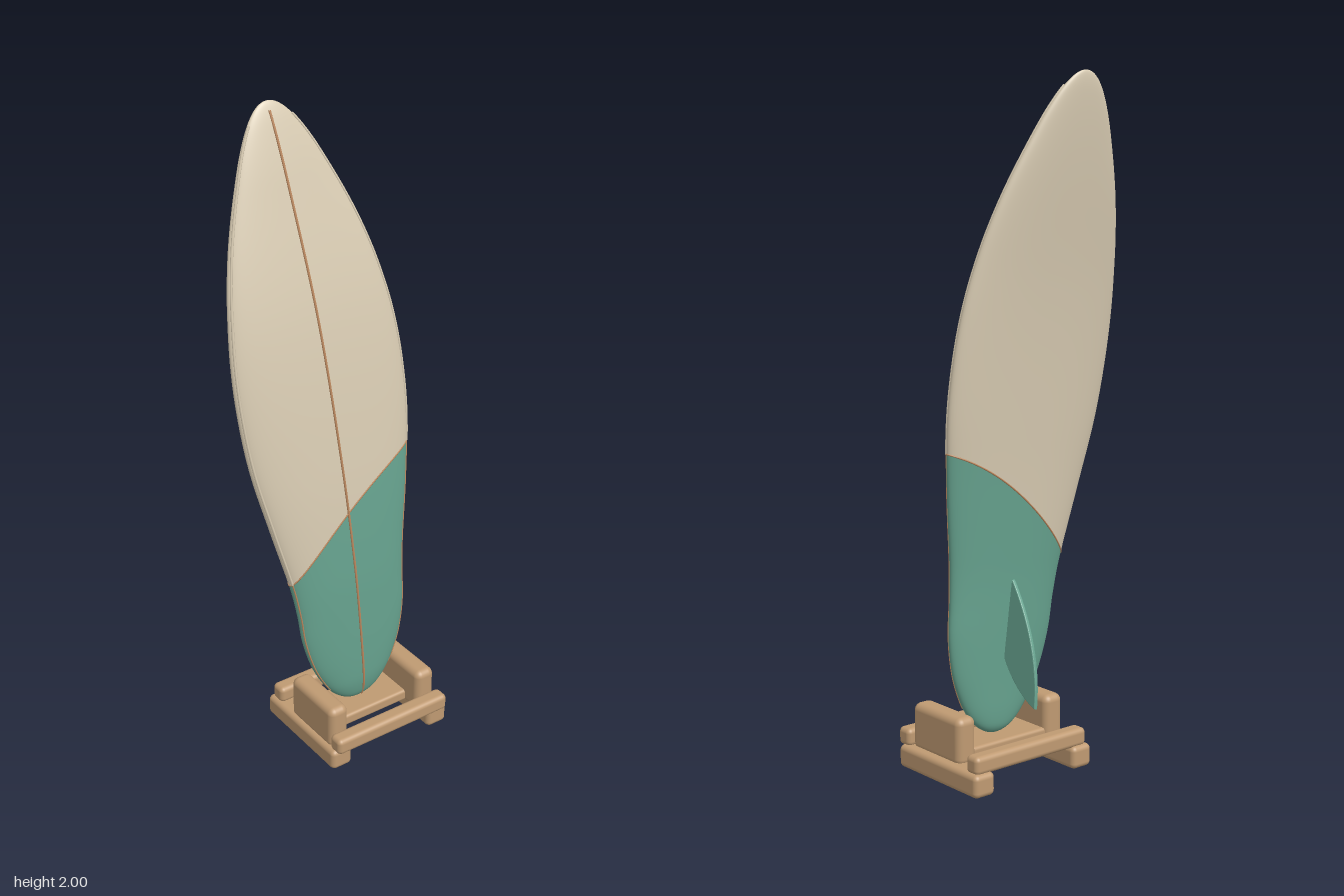
import * as THREE from 'three';
import { RoundedBoxGeometry } from 'three/addons/geometries/RoundedBoxGeometry.js';

const LENGTH = 1.908;

// smooth interpolation through [position, value] pairs
function spline(table, s) {
  const n = table.length;
  let i = 0;
  while (i < n - 2 && s > table[i + 1][0]) i++;
  const slope = (k) => {
    const a = table[Math.max(0, k - 1)], b = table[Math.min(n - 1, k + 1)];
    return (b[1] - a[1]) / (b[0] - a[0]);
  };
  const [s0, v0] = table[i], [s1, v1] = table[i + 1];
  const d = s1 - s0, t = (s - s0) / d, t2 = t * t, t3 = t2 * t;
  return v0 * (2 * t3 - 3 * t2 + 1) + slope(i) * d * (t3 - 2 * t2 + t)
    + v1 * (3 * t2 - 2 * t3) + slope(i + 1) * d * (t3 - t2);
}

// squared values keep both ends of the board round
const squared = (table) => table.map(([s, v]) => [s, v * v]);
const WIDTH = squared([[0, 0], [0.05, 0.092], [0.1, 0.125], [0.19, 0.163], [0.3, 0.186], [0.4, 0.192],
  [0.52, 0.206], [0.72, 0.242], [0.93, 0.274], [1.1, 0.281], [1.25, 0.273], [1.4, 0.249],
  [1.52, 0.219], [1.7, 0.153], [1.8, 0.107], [1.86, 0.07], [LENGTH, 0]]);
const THICK = squared([[0, 0], [0.03, 0.024], [0.1, 0.033], [0.5, 0.044], [0.85, 0.048],
  [1.3, 0.045], [1.7, 0.029], [1.85, 0.016], [LENGTH, 0]]);
const ROCKER = [[0, 0.012], [0.1, 0.017], [0.3, 0.015], [0.5, 0.009], [0.85, -0.017],
  [1.3, -0.07], [1.7, -0.147], [LENGTH, -0.19]];

const halfWidth = (s) => Math.sqrt(Math.max(0, spline(WIDTH, s)));
const halfThick = (s) => Math.sqrt(Math.max(0, spline(THICK, s)));

// point on the board skin: s along the length, angle around the section
function skin(s, angle) {
  const u = Math.cos(angle);
  const bulge = Math.sqrt(Math.max(0, 1 - Math.abs(u) ** 2.5));
  return new THREE.Vector3(u * halfWidth(s), s,
    spline(ROCKER, s) + Math.sign(Math.sin(angle)) * halfThick(s) * bulge);
}

// where the curved colour break crosses a given angle
function breakAt(angle) {
  let s = 0.7;
  for (let i = 0; i < 20; i++) {
    const x = Math.cos(angle) * halfWidth(s);
    s = 0.703 + 0.708 * x - 0.852 * x * x;
  }
  return s;
}

// one smooth skin with a group for the tail and one for the nose
function boardGeometry() {
  const cols = 72, tailRows = 36, noseRows = 52, rows = tailRows + noseRows;
  const pos = [], index = [];
  for (let r = 0; r <= rows; r++) {
    for (let c = 0; c < cols; c++) {
      const angle = (c / cols) * Math.PI * 2, mid = breakAt(angle);
      const s = r <= tailRows
        ? mid * (1 - Math.cos((r / tailRows) * Math.PI / 2))
        : mid + (LENGTH - mid) * Math.sin(((r - tailRows) / noseRows) * Math.PI / 2);
      pos.push(...skin(s, angle).toArray());
    }
  }
  for (let r = 0; r < rows; r++) {
    for (let c = 0; c < cols; c++) {
      const n = (c + 1) % cols;
      const a = r * cols + c, b = a + cols, e = r * cols + n, f = e + cols;
      index.push(a, b, e, b, f, e);
    }
  }
  const geo = new THREE.BufferGeometry();
  geo.setAttribute('position', new THREE.Float32BufferAttribute(pos, 3));
  geo.setIndex(index);
  geo.addGroup(0, tailRows * cols * 6, 0);
  geo.addGroup(tailRows * cols * 6, noseRows * cols * 6, 1);
  geo.computeVertexNormals();
  return geo;
}

export function createModel() {
  const material = (name, color) => {
    const m = new THREE.MeshStandardMaterial({ color });
    m.name = name;
    return m;
  };
  const cream = material('cream', 0xd9ccb3);
  const teal = material('teal', 0x67a38f);
  const line = material('tan line', 0xc08c62);
  const wood = material('wood', 0xbf9a72);

  const model = new THREE.Group();
  const add = (parent, name, geo, mat) => {
    const mesh = new THREE.Mesh(geo, mat);
    mesh.name = name;
    parent.add(mesh);
    return mesh;
  };

  // board, tipped sideways on its tail
  const board = new THREE.Group();
  board.name = 'board';
  board.position.set(0.085, 0.1, 0);
  board.rotation.z = 0.0912;
  model.add(board);
  add(board, 'boardSkin', boardGeometry(), [teal, cream]);

  // thin beads following the skin
  const bead = (name, points, radius, mat, closed = false) => add(board, name,
    new THREE.TubeGeometry(new THREE.CatmullRomCurve3(points, closed), 120, radius, 6, closed), mat);
  const along = (from, to, angle) => Array.from({ length: 41 },
    (_, i) => skin(from + (to - from) * i / 40, angle));
  bead('stringer', along(0.01, 1.885, Math.PI / 2), 0.004, line);
  bead('colourSeam', Array.from({ length: 72 }, (_, i) => {
    const angle = (i / 72) * Math.PI * 2;
    return skin(breakAt(angle), angle);
  }), 0.0025, line, true);
  for (const [side, angle] of [['left', 0.24], ['right', Math.PI - 0.24]]) {
    const mid = breakAt(angle);
    bead(side + 'TailRailLine', along(0.08, mid, angle), 0.0025, line);
    bead(side + 'NoseRailLine', along(mid, 1.86, angle), 0.004, cream);
  }

  // swept fin on the back: shape x points backwards
  const finShape = new THREE.Shape();
  finShape.moveTo(0.02, 0.47);
  finShape.lineTo(0.035, 0.46);
  finShape.bezierCurveTo(0.1, 0.38, 0.17, 0.26, 0.168, 0.112);
  finShape.bezierCurveTo(0.12, 0.125, 0.06, 0.17, 0.02, 0.23);
  const finGeo = new THREE.ExtrudeGeometry(finShape, {
    depth: 0.006, bevelEnabled: true, bevelThickness: 0.003, bevelSize: 0.003,
    bevelOffset: -0.003, bevelSegments: 2, curveSegments: 16,
  });
  finGeo.translate(0, 0, -0.003).rotateY(Math.PI / 2);
  add(board, 'fin', finGeo, teal);

  // wooden stand from rounded bars, given as min and max corners
  const stand = new THREE.Group();
  stand.name = 'stand';
  model.add(stand);
  const bar = (name, [x0, y0, z0], [x1, y1, z1], r) => {
    const mesh = add(stand, name, new RoundedBoxGeometry(x1 - x0, y1 - y0, z1 - z0, 4, r), wood);
    mesh.position.set((x0 + x1) / 2, (y0 + y1) / 2, (z0 + z1) / 2);
  };
  for (const [side, foot, post] of [['right', -0.132, -0.117], ['left', 0.232, 0.21]]) {
    bar(side + 'Foot', [foot, 0, -0.18], [foot + 0.073, 0.068, 0.18], 0.016);
    bar(side + 'Post', [post, 0.055, -0.07], [post + 0.067, 0.197, 0.15], 0.022);
  }
  bar('frontBar', [-0.12, 0.062, 0.145], [0.293, 0.116, 0.197], 0.015);
  bar('backBar', [-0.12, 0.062, -0.17], [0.293, 0.116, -0.118], 0.015);
  bar('platform', [-0.09, 0.062, -0.06], [0.25, 0.1, 0.087], 0.01);

  return model;
}
